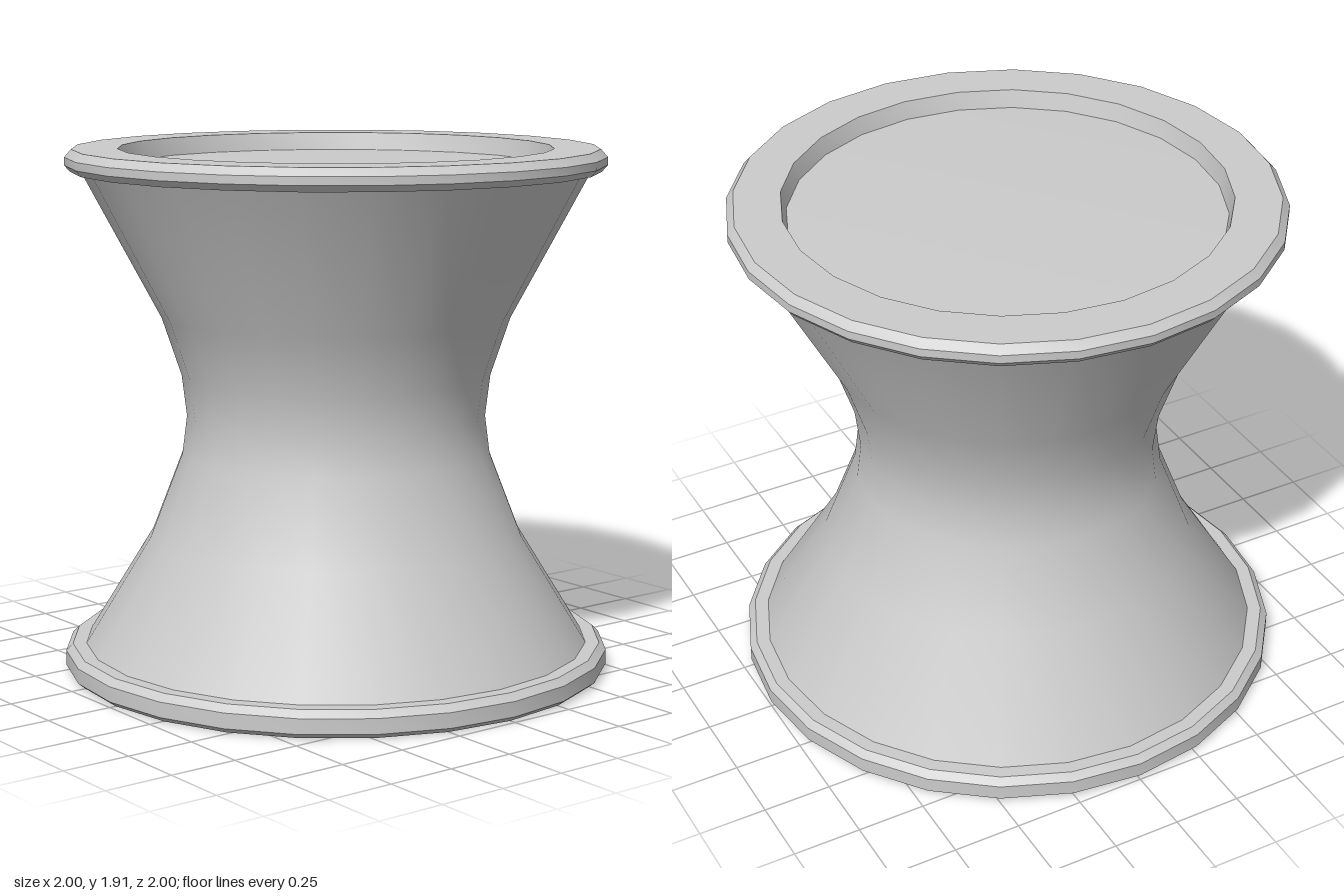
import * as THREE from 'three';
import { toCreasedNormals } from 'three/addons/utils/BufferGeometryUtils.js';

const SIDES = 24;
const material = new THREE.MeshStandardMaterial({ color: 0xcccccc, side: THREE.DoubleSide });

// Turned part from [radius, height] pairs; rounds stay smooth, bevels stay sharp
function turned(name, profile) {
  const points = profile.map(([r, y]) => new THREE.Vector2(r, y));
  const geometry = toCreasedNormals(new THREE.LatheGeometry(points, SIDES), 0.5);
  const mesh = new THREE.Mesh(geometry, material);
  mesh.name = name;
  return mesh;
}

export function createModel() {
  const stool = new THREE.Group();
  stool.name = 'stool';

  // Hollow waisted body, open at the bottom
  stool.add(turned('body', [
    [0.95, 0.05], [0.925, 0.1], [0.685, 0.49], [0.565, 0.8], [0.547, 0.94],
    [0.565, 1.09], [0.635, 1.3], [0.922, 1.84],
  ]));

  // Bevelled foot ring
  stool.add(turned('footRing', [
    [0.945, 0.05], [0.945, 0], [0.975, 0], [1, 0.02], [1, 0.075], [0.975, 0.1], [0.92, 0.1],
  ]));

  // Seat rim with bevelled edge, dropping to the recessed seat
  stool.add(turned('seatRim', [
    [0.91, 1.83], [0.955, 1.83], [0.975, 1.853], [0.975, 1.882], [0.95, 1.91],
    [0.785, 1.91], [0.768, 1.845],
  ]));

  // Recessed seat panel, also closing the body from inside
  stool.add(turned('seatPanel', [[0.922, 1.835], [0.768, 1.845], [0, 1.845]]));

  return stool;
}
